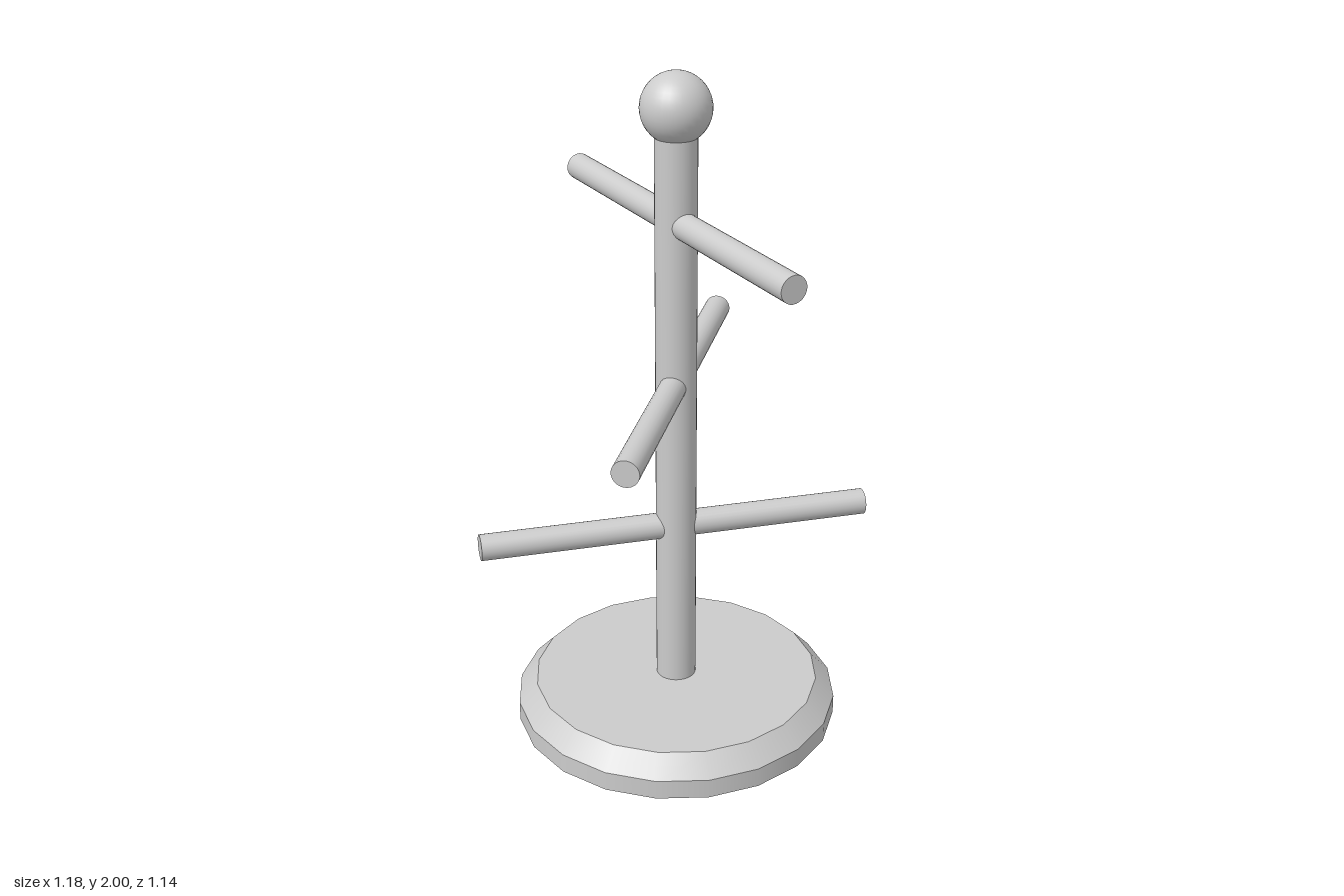
import * as THREE from 'three';

const material = new THREE.MeshStandardMaterial({ color: 0xcccccc });

export function createModel() {
  const model = new THREE.Group();
  model.name = 'mugTree';

  const add = (name, geometry, x = 0, y = 0, z = 0) => {
    const mesh = new THREE.Mesh(geometry, material);
    mesh.name = name;
    mesh.position.set(x, y, z);
    model.add(mesh);
    return mesh;
  };

  // Round foot: straight rim below, sloped bevel above
  add('baseRim', new THREE.CylinderGeometry(0.49, 0.49, 0.06, 20, 1, true), 0, 0.03, 0);
  add('baseBevel', new THREE.CylinderGeometry(0.433, 0.49, 0.06, 20, 1, true), 0, 0.09, 0);
  add('baseTop', new THREE.CircleGeometry(0.433, 20).rotateX(-Math.PI / 2), 0, 0.12, 0);
  add('baseUnderside', new THREE.CircleGeometry(0.49, 20).rotateX(Math.PI / 2));

  // Upright post with a ball on top
  add('post', new THREE.CylinderGeometry(0.06, 0.06, 1.73, 32, 1, true), 0, 0.985, 0);
  add('ballFinial', new THREE.SphereGeometry(0.1, 32, 20), 0, 1.9, 0);

  // Three pegs through the post, each given by its +z or +x end
  const up = new THREE.Vector3(0, 1, 0);
  const pegs = [
    ['lowerPeg', 0.635, [0.588, -0.005, -0.04]],
    ['middlePeg', 1.098, [-0.24, -0.003, 0.537]],
    ['upperPeg', 1.58, [0.188, -0.004, 0.557]],
  ];
  for (const [name, y, end] of pegs) {
    const half = new THREE.Vector3(...end);
    const geometry = new THREE.CylinderGeometry(0.039, 0.039, half.length() * 2, 24);
    const peg = add(name, geometry, 0, y, 0);
    peg.quaternion.setFromUnitVectors(up, half.normalize());
  }

  return model;
}
